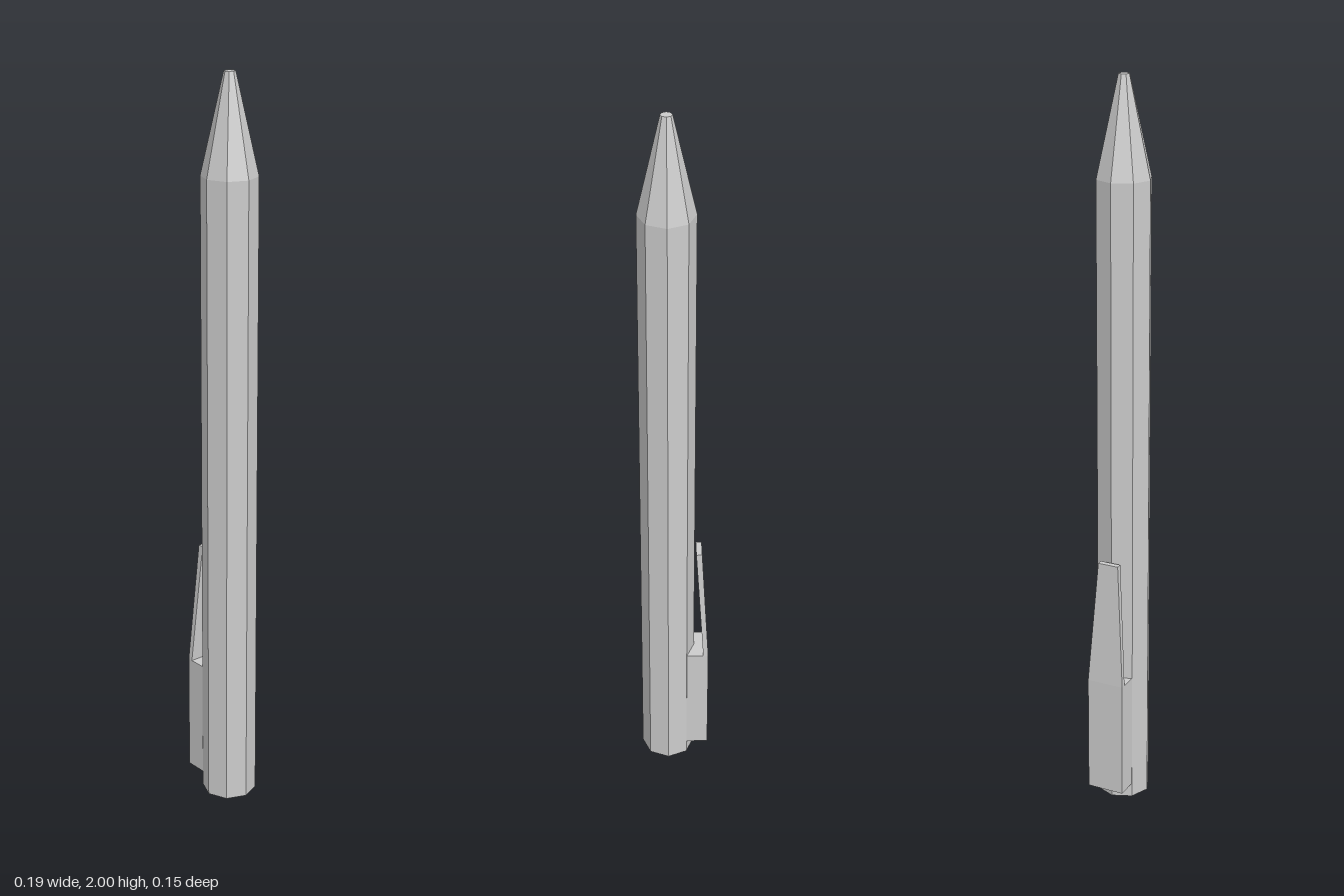
import * as THREE from 'three';

const material = new THREE.MeshStandardMaterial({ color: 0xcccccc, flatShading: true });

function addPart(group, name, geometry) {
  const mesh = new THREE.Mesh(geometry, material);
  mesh.name = name;
  group.add(mesh);
  return mesh;
}

// Box whose bottom and top sections are given as [xMin, xMax, halfDepth]
function taperedBox(y0, y1, bottom, top) {
  const geometry = new THREE.BoxGeometry(1, 1, 1);
  const p = geometry.attributes.position;
  for (let i = 0; i < p.count; i++) {
    const upper = p.getY(i) > 0;
    const [xMin, xMax, half] = upper ? top : bottom;
    p.setXYZ(i, p.getX(i) > 0 ? xMax : xMin, upper ? y1 : y0, Math.sign(p.getZ(i)) * half);
  }
  geometry.computeVertexNormals();
  return geometry;
}

export function createModel() {
  const group = new THREE.Group();
  group.name = 'pen';

  // Eight-sided barrel with a tapered, blunt tip
  const profile = [[0, 0], [0.074, 0], [0.074, 1.74], [0.015, 2], [0, 2]]
    .map(([r, y]) => new THREE.Vector2(r, y));
  addPart(group, 'barrel', new THREE.LatheGeometry(profile, 8)).position.x = 0.019;

  // Block that joins the clip to the barrel
  addPart(group, 'clipBase', taperedBox(0.04, 0.37, [-0.094, -0.034, 0.052], [-0.094, -0.034, 0.052]));

  // Clip arm, narrowing and leaning in towards the barrel
  addPart(group, 'clipArm', taperedBox(0.37, 0.715, [-0.094, -0.08, 0.052], [-0.075, -0.059, 0.029]));

  return group;
}
